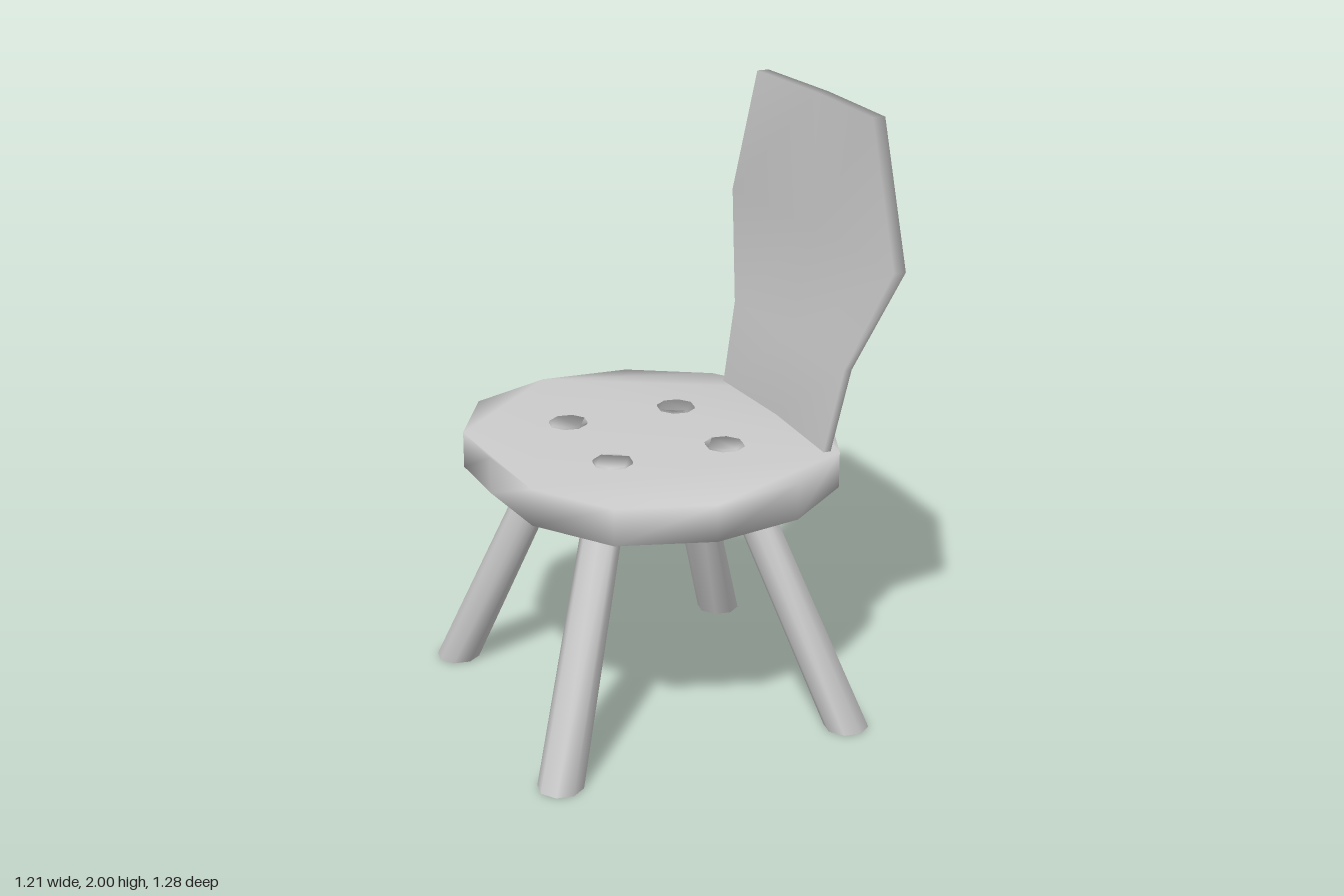
import * as THREE from 'three';

const material = new THREE.MeshStandardMaterial({ color: 0xcccccc });

// Skin a stack of rings ([x, y, z] points, counter-clockwise from above, bottom ring first) and cap both ends
function loft(name, rings) {
  const n = rings[0].length, index = [];
  for (let r = 0; r < rings.length - 1; r++) {
    for (let i = 0; i < n; i++) {
      const j = (i + 1) % n, a = r * n + i, b = r * n + j;
      index.push(a, b, b + n, a, b + n, a + n);
    }
  }
  const last = (rings.length - 1) * n;
  const outline = rings[0].map(([x, , z]) => new THREE.Vector2(x, -z));
  for (const [a, b, c] of THREE.ShapeUtils.triangulateShape(outline, [])) {
    index.push(c, b, a, last + a, last + b, last + c);
  }
  const geometry = new THREE.BufferGeometry();
  geometry.setAttribute('position', new THREE.Float32BufferAttribute(rings.flat(2), 3));
  geometry.setIndex(index);
  geometry.computeVertexNormals();
  const mesh = new THREE.Mesh(geometry, material);
  mesh.name = name;
  return mesh;
}

// Horizontal eight-sided ring
function circle(x, y, z, radius) {
  return Array.from({ length: 8 }, (_, i) => {
    const t = (i + 0.3) / 8 * Math.PI * 2;
    return [x + radius * Math.cos(t), y, z - radius * Math.sin(t)];
  });
}

export function createModel() {
  const group = new THREE.Group();
  group.name = 'chair';

  // Rough-hewn round seat
  const outline = [
    [-0.15, -0.64], [-0.43, -0.515], [-0.575, -0.25], [-0.57, 0], [-0.54, 0.3],
    [-0.37, 0.545], [-0.07, 0.638], [0.23, 0.58], [0.47, 0.395], [0.6, 0.07],
    [0.57, -0.235], [0.42, -0.465], [0.155, -0.622],
  ];
  group.add(loft('seat', [0.805, 0.925].map(y => outline.map(([x, z]) => [x, y, z]))));

  // Splayed legs whose tops poke through the seat
  for (const [topX, footX, side] of [[-0.228, -0.537, 'right'], [0.158, 0.467, 'left']]) {
    for (const s of [1, -1]) {
      group.add(loft(`${side}${s > 0 ? 'Front' : 'Back'}Leg`, [
        circle(footX, 0, s * 0.5, 0.074),
        circle(topX, 0.932, s * 0.192, 0.064),
      ]));
    }
  }

  // Curved backrest: height, half width, inner face x at the edge, thickness
  const rows = [
    [0.915, 0.375, 0.42, 0.025],
    [1.2, 0.4, 0.473, 0.027],
    [1.555, 0.57, 0.54, 0.042],
    [2, 0.4, 0.545, 0.042],
  ];
  const bow = 0.017;
  group.add(loft('backrest', rows.map(([y, w, x, t]) => [
    [x, y, -w], [x + bow, y, 0], [x, y, w],
    [x + t, y, w], [x + t + bow, y, 0], [x + t, y, -w],
  ])));

  return group;
}
